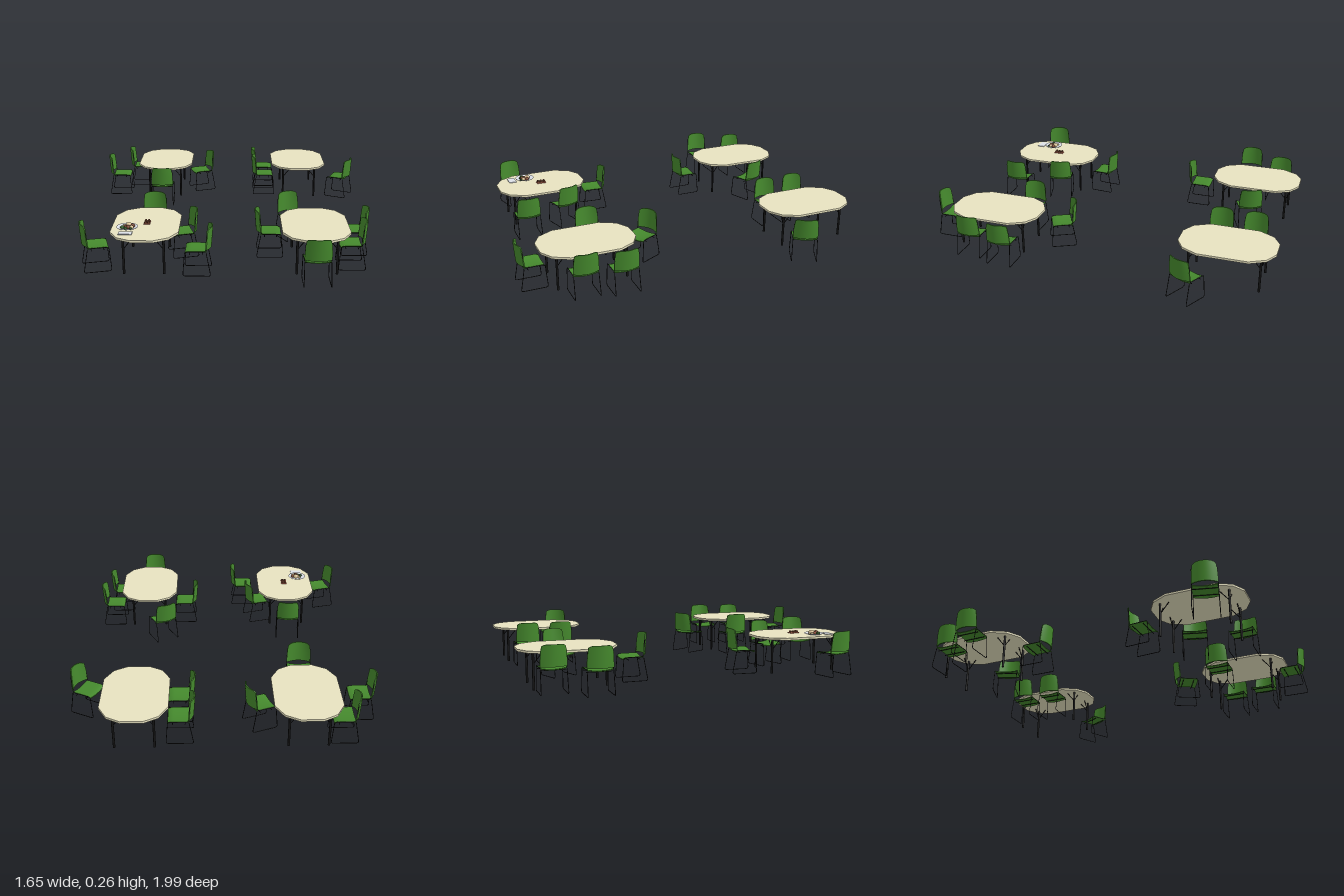
import * as THREE from 'three';

const paint = (name, color) => Object.assign(new THREE.MeshStandardMaterial({ color }), { name });
const tan = paint('table laminate', 0xe7e2c0);
const green = paint('chair green', 0x45892d);
const black = paint('black metal', 0x141414);
const white = paint('crockery', 0xe4e8ef);
const brick = paint('brick red', 0xb0604e);
const brown = paint('roast brown', 0x7d4a34);
const bread = paint('bread cream', 0xdcc59a);
const leaf = paint('leaf green', 0x2f5a26);

function add(parent, name, geometry, material, x = 0, y = 0, z = 0) {
  const mesh = new THREE.Mesh(geometry, material);
  mesh.name = name;
  mesh.position.set(x, y, z);
  parent.add(mesh);
  return mesh;
}

// Box whose vertices are moved by a rule; the rule gets u, v, w in -1..1
function bentBox(nx, ny, nz, rule) {
  const g = new THREE.BoxGeometry(2, 2, 2, nx, ny, nz);
  const p = g.attributes.position;
  for (let i = 0; i < p.count; i++) p.setXYZ(i, ...rule(p.getX(i), p.getY(i), p.getZ(i)));
  g.computeVertexNormals();
  return g;
}

// Straight round bar between two points
function bar(parent, name, a, b, radius) {
  const from = new THREE.Vector3(...a), to = new THREE.Vector3(...b);
  const dir = to.clone().sub(from);
  const m = add(parent, name, new THREE.CylinderGeometry(radius, radius, dir.length(), 8), black);
  m.position.copy(from).add(to).multiplyScalar(0.5);
  m.quaternion.setFromUnitVectors(new THREE.Vector3(0, 1, 0), dir.normalize());
}

// Straight runs joined by small rounded bends
function bentPath(points, bend) {
  const path = new THREE.CurvePath();
  let last = points[0];
  for (let i = 1; i < points.length - 1; i++) {
    const p = points[i];
    const towards = (q) => p.clone().add(q.clone().sub(p).setLength(bend));
    const start = towards(points[i - 1]), end = towards(points[i + 1]);
    path.add(new THREE.LineCurve3(last, start));
    path.add(new THREE.QuadraticBezierCurve3(start, p, end));
    last = end;
  }
  path.add(new THREE.LineCurve3(last, points[points.length - 1]));
  return path;
}

// Chair facing +z, origin under the seat centre
function makeChair() {
  const chair = new THREE.Group();
  chair.name = 'chair';

  // Seat dished across its width, with a drooping front lip
  add(chair, 'seat', bentBox(8, 1, 8, (u, v, w) => {
    const lip = Math.max(0, (w - 0.6) / 0.4);
    return [u * 0.067, 0.134 - 0.008 * (1 - u * u) - 0.007 * lip * lip + v * 0.0025, w * 0.056];
  }), green);

  // Backrest curved in plan, leaning back, tapering to soft top corners
  add(chair, 'backrest', bentBox(12, 8, 1, (u, v, w) => {
    const h = (v + 1) / 2;
    return [
      u * (0.069 - 0.008 * h * h),
      0.2 + v * 0.057 - 0.011 * Math.pow(Math.abs(u), 6) * h,
      -0.053 - 0.024 * (1 - u * u) - 0.009 * h + w * 0.003,
    ];
  }), green);

  // Side frames: back post, seat rail and sled leg in one bent rod
  for (const s of [-1, 1]) {
    const points = [
      [0.065, 0.225, -0.061], [0.067, 0.134, -0.052], [0.067, 0.134, 0.055], [0.069, 0.003, 0.066],
      [0.069, 0.003, -0.078], [0.067, 0.13, -0.055],
    ].map(([x, y, z]) => new THREE.Vector3(s * x, y, z));
    add(chair, 'sideFrame', new THREE.TubeGeometry(bentPath(points, 0.012), 100, 0.002, 6), black);
  }
  for (const z of [-0.035, 0.03]) bar(chair, 'seatCrossbar', [-0.067, 0.121, z], [0.067, 0.121, z], 0.002);
  return chair;
}

// Twelve-sided table on four braced legs
function makeTable() {
  const table = new THREE.Group();
  table.name = 'table';
  const quarter = [[0.178, 0.135], [0.132, 0.221], [0.058, 0.263]];
  const flip = quarter.slice().reverse();
  const outline = [
    ...quarter, ...flip.map(([x, y]) => [-x, y]),
    ...quarter.map(([x, y]) => [-x, -y]), ...flip.map(([x, y]) => [x, -y]),
  ].map(([x, y]) => new THREE.Vector2(x, y));
  const top = new THREE.ExtrudeGeometry(new THREE.Shape(outline), { depth: 0.012, bevelEnabled: false });
  top.rotateX(-Math.PI / 2);
  add(table, 'tabletop', top, tan, 0, 0.197, 0);

  for (const sx of [-1, 1]) for (const sz of [-1, 1]) {
    const x = sx * 0.104, z = sz * 0.192;
    bar(table, 'tableLeg', [x, 0, z], [x, 0.198, z], 0.0065);
    bar(table, 'sideBrace', [x, 0.135, z], [x - sx * 0.05, 0.197, z], 0.0024);
    bar(table, 'lengthBrace', [x, 0.135, z], [x, 0.197, z - sz * 0.05], 0.0024);
  }
  return table;
}

// Plate of food, napkin and a tray of small cakes
function makeMeal() {
  const meal = new THREE.Group();
  meal.name = 'meal';
  const profile = [[0, 0], [0.034, 0], [0.056, 0.008], [0.056, 0.01], [0.034, 0.003], [0, 0.003]]
    .map(([x, y]) => new THREE.Vector2(x, y));
  const plate = new THREE.Group();
  plate.name = 'plateOfFood';
  plate.position.set(-0.529, 0.209, 0.69);
  meal.add(plate);
  add(plate, 'plate', new THREE.LatheGeometry(profile, 24), white);
  const food = [
    [bread, 0.008, -0.014, 0.017, 0.8], [bread, 0.024, 0.012, 0.012, 0.8], [bread, -0.014, -0.02, 0.01, 0.7],
    [brown, 0.028, -0.008, 0.012, 0.9], [brown, 0.008, 0.016, 0.013, 0.9], [brick, -0.006, 0.002, 0.009, 1],
    [leaf, -0.024, 0.012, 0.012, 0.7], [leaf, -0.006, 0.025, 0.01, 0.7], [leaf, 0.022, 0.027, 0.008, 0.7],
  ];
  for (const [mat, x, z, r, tall] of food) {
    add(plate, 'food', new THREE.SphereGeometry(r, 10, 8), mat, x, 0.003 + r * tall * 0.7, z).scale.y = tall;
  }
  add(meal, 'napkin', new THREE.BoxGeometry(0.07, 0.004, 0.044), white, -0.529, 0.211, 0.772);
  add(meal, 'cakeTray', new THREE.BoxGeometry(0.034, 0.004, 0.056), brick, -0.432, 0.211, 0.61);
  for (const i of [-1, 1]) for (const j of [-1, 0, 1]) {
    add(meal, 'cake', new THREE.CylinderGeometry(0.006, 0.007, 0.01, 10), brown, -0.432 + i * 0.008, 0.217, 0.61 + j * 0.018);
  }
  return meal;
}

export function createModel() {
  const model = new THREE.Group();
  model.name = 'diningArea';

  const table = makeTable();
  for (const [x, z] of [[-0.434, -0.731], [0.463, -0.731], [-0.434, 0.613], [0.459, 0.613]]) {
    const t = table.clone();
    t.position.set(x, 0, z);
    model.add(t);
  }

  // Chairs: x, z, heading in degrees
  const chair = makeChair();
  const places = [
    [-0.436, -0.38, 180], [-0.732, -0.636, 90], [-0.616, -0.844, 90], [-0.198, -0.722, -69],
    [0.236, -0.831, 90], [0.236, -0.636, 90], [0.732, -0.573, -117],
    [-0.431, 0.283, -4.5], [-0.686, 0.722, 104.5], [-0.253, 0.521, -74], [-0.165, 0.773, -91],
    [0.368, 0.262, 27.5], [0.23, 0.514, 90], [0.68, 0.487, -90], [0.641, 0.691, -90], [0.447, 0.909, 180],
  ];
  for (const [x, z, deg] of places) {
    const c = chair.clone();
    c.position.set(x, 0, z);
    c.rotation.y = THREE.MathUtils.degToRad(deg);
    model.add(c);
  }

  model.add(makeMeal());
  return model;
}
